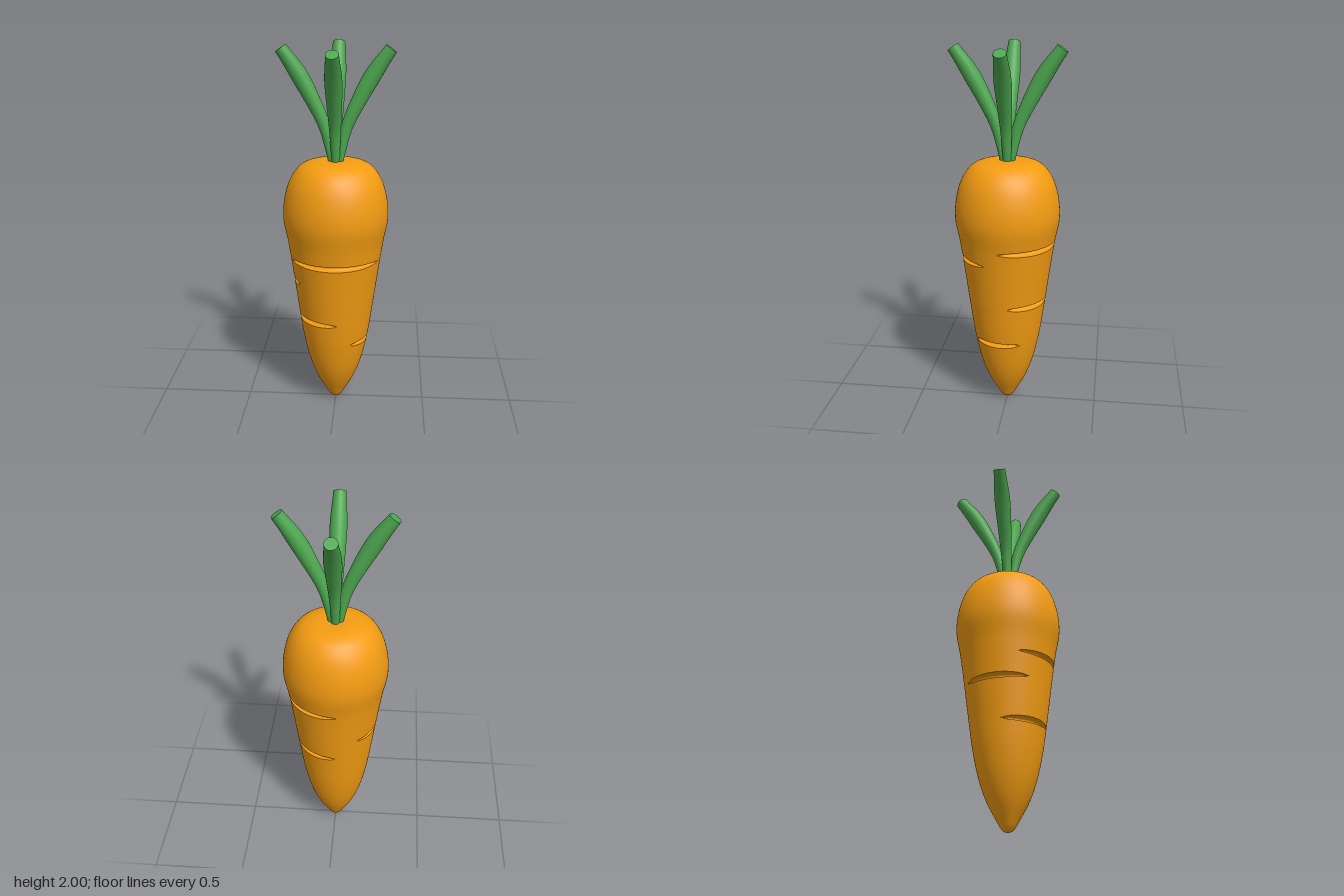
import * as THREE from 'three';

const SEGMENTS = 144;
const rad = THREE.MathUtils.degToRad;

// Root outline as [radius, height], from the tip to the middle of the crown
const OUTLINE = [
  [0, 0], [0.026, 0.012], [0.063, 0.07], [0.106, 0.15], [0.143, 0.25], [0.178, 0.4],
  [0.205, 0.58], [0.232, 0.78], [0.258, 0.96], [0.281, 1.09], [0.271, 1.21],
  [0.237, 1.31], [0.185, 1.373], [0.115, 1.398], [0, 1.4],
];

// Carved lines: height, middle angle (0 = front, 90 = +x) and half span in degrees
const GROOVES = [
  { y: 0.40, angle: 74, span: 44 },
  { y: 0.53, angle: -42, span: 46 },
  { y: 0.63, angle: 140, span: 42 },
  { y: 0.75, angle: -99, span: 45 },
  { y: 0.877, angle: 0, span: 66 },
  { y: 0.957, angle: 135, span: 49 },
];
const GROOVE_HALF_HEIGHT = 0.015;
const GROOVE_DEPTH = 0.032;

// Lens-shaped fade of a groove around the root: 1 in its middle, 0 beyond its ends
function grooveFade(groove, phi) {
  const d = phi - rad(groove.angle);
  const t = Math.atan2(Math.sin(d), Math.cos(d)) / rad(groove.span);
  return Math.sqrt(Math.max(0, 1 - t * t));
}

function createRootGeometry() {
  const curve = new THREE.CatmullRomCurve3(OUTLINE.map(([r, y]) => new THREE.Vector3(r, y, 0)));
  const profile = curve.getPoints(70);
  const radiusAt = (y) => {
    const i = Math.max(1, profile.findIndex((p) => p.y >= y));
    const a = profile[i - 1], b = profile[i];
    return THREE.MathUtils.mapLinear(y, a.y, b.y, a.x, b.x);
  };

  // Plain rings, plus a bundle of rings for each groove (doubled at its lips for crisp edges)
  const rows = profile
    .filter((p) => GROOVES.every((g) => Math.abs(p.y - g.y) > 0.02))
    .map((p) => ({ y: p.y, r: Math.max(0, p.x), s: 0 }));
  for (const groove of GROOVES) {
    for (const s of [-1, -1, -0.85, -0.5, 0, 0.5, 0.85, 1, 1]) {
      rows.push({ y: groove.y, groove, s });
    }
  }
  const order = rows.map((row, i) => ({ row, i }));
  order.sort((a, b) => (a.row.groove || b.row.groove ? a.row.y - b.row.y : 0) || a.i - b.i);

  const positions = [];
  const indices = [];
  order.forEach(({ row }, j) => {
    for (let i = 0; i < SEGMENTS; i++) {
      const phi = (i / SEGMENTS) * Math.PI * 2;
      let { y, r } = row;
      if (row.groove) {
        const fade = grooveFade(row.groove, phi);
        y += row.s * Math.max(0.001, GROOVE_HALF_HEIGHT * fade);
        r = radiusAt(y) - GROOVE_DEPTH * fade * Math.sqrt(1 - row.s * row.s);
      }
      positions.push(r * Math.sin(phi), y, r * Math.cos(phi));
      if (j > 0) {
        const next = (i + 1) % SEGMENTS;
        const a = (j - 1) * SEGMENTS + i, b = (j - 1) * SEGMENTS + next;
        const c = j * SEGMENTS + next, d = j * SEGMENTS + i;
        indices.push(a, b, c, a, c, d);
      }
    }
  });
  const geometry = new THREE.BufferGeometry();
  geometry.setAttribute('position', new THREE.Float32BufferAttribute(positions, 3));
  geometry.setIndex(indices);
  geometry.computeVertexNormals();
  return geometry;
}

// Stalk bending outward along +x, thin at the root and swelling below its cut end
const STALK_CURVE = new THREE.CatmullRomCurve3([
  [0.016, 1.385], [0.058, 1.58], [0.12, 1.72], [0.2, 1.865], [0.28, 1.98],
].map(([x, y]) => new THREE.Vector3(x, y, 0)));
const STALK_RADII = new THREE.SplineCurve([
  [0, 0.021], [0.25, 0.029], [0.5, 0.038], [0.75, 0.044], [1, 0.033],
].map(([t, r]) => new THREE.Vector2(t, r)));

function createStalk(material) {
  const rings = 24, sides = 32;
  const geometry = new THREE.TubeGeometry(STALK_CURVE, rings, 1, sides, false);
  const position = geometry.attributes.position;
  const normal = geometry.attributes.normal;
  const v = new THREE.Vector3(), n = new THREE.Vector3();
  for (let i = 0; i < position.count; i++) {
    const t = Math.floor(i / (sides + 1)) / rings;
    n.fromBufferAttribute(normal, i);
    v.copy(STALK_CURVE.getPointAt(t)).addScaledVector(n, STALK_RADII.getPoint(t).y);
    position.setXYZ(i, v.x, v.y, v.z);
  }

  const stalk = new THREE.Group();
  const stem = new THREE.Mesh(geometry, material);
  stem.name = 'stem';
  stalk.add(stem);

  // Flat discs closing both ends
  for (const [t, sign, name] of [[0, -1, 'stemBase'], [1, 1, 'stemCutEnd']]) {
    const cap = new THREE.Mesh(new THREE.CircleGeometry(STALK_RADII.getPoint(t).y, sides), material);
    cap.position.copy(STALK_CURVE.getPointAt(t));
    const direction = STALK_CURVE.getTangentAt(t).multiplyScalar(sign);
    cap.quaternion.setFromUnitVectors(new THREE.Vector3(0, 0, 1), direction);
    cap.name = name;
    stalk.add(cap);
  }
  return stalk;
}

export function createModel() {
  const orange = new THREE.MeshStandardMaterial({ color: 0xf39c12 });
  const green = new THREE.MeshStandardMaterial({ color: 0x4ca64f });

  const model = new THREE.Group();
  model.name = 'carrot';

  const root = new THREE.Mesh(createRootGeometry(), orange);
  root.name = 'root';
  model.add(root);

  // Four stalks, one toward each side
  ['leftStalk', 'backStalk', 'rightStalk', 'frontStalk'].forEach((name, i) => {
    const stalk = createStalk(green);
    stalk.name = name;
    stalk.rotation.y = (i * Math.PI) / 2;
    model.add(stalk);
  });
  return model;
}
